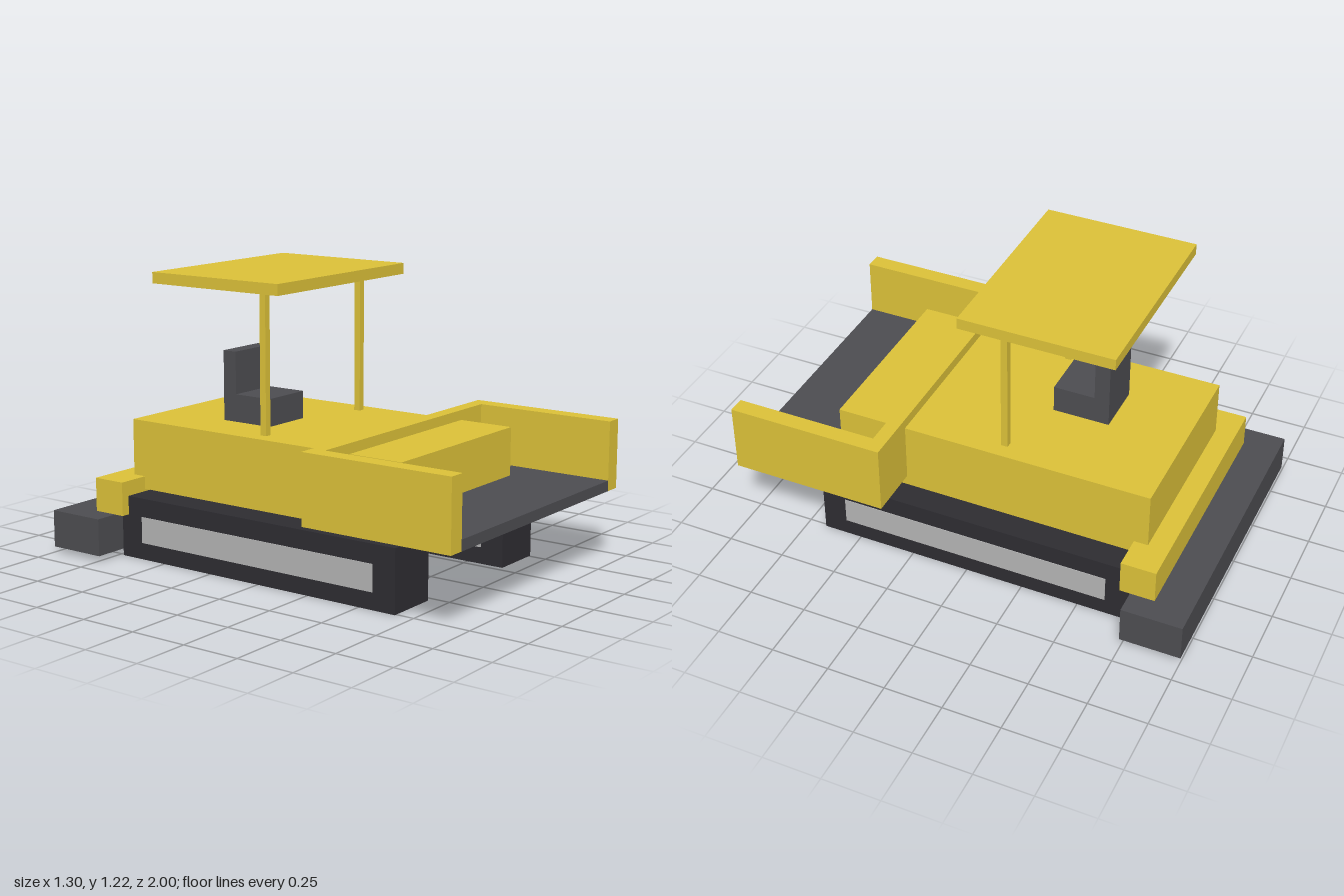
import * as THREE from 'three';

const material = (color) => new THREE.MeshStandardMaterial({ color });

export function createModel() {
  const model = new THREE.Group();
  model.name = 'paver';

  const yellow = material(0xdac038);
  const darkGrey = material(0x4c4c50);
  const black = material(0x2d2c31);
  const grey = material(0xb2b2b2);

  // Box given by its [min, max] extent on each axis
  function box(name, mat, [x0, x1], [y0, y1], [z0, z1], parent = model) {
    const mesh = new THREE.Mesh(new THREE.BoxGeometry(x1 - x0, y1 - y0, z1 - z0), mat);
    mesh.position.set((x0 + x1) / 2, (y0 + y1) / 2, (z0 + z1) / 2);
    mesh.name = name;
    parent.add(mesh);
    return mesh;
  }

  // Same box on both sides of the machine
  function pair(name, mat, [x0, x1], y, z, parent = model) {
    box(name + 'Left', mat, [x0, x1], y, z, parent);
    box(name + 'Right', mat, [-x1, -x0], y, z, parent);
  }

  function group(name) {
    const g = new THREE.Group();
    g.name = name;
    model.add(g);
    return g;
  }

  // Main body
  box('body', yellow, [-0.405, 0.405], [0.275, 0.572], [-0.755, 0.625]);

  // Crawler tracks, with a frame plate standing slightly proud of both faces
  const tracks = group('tracks');
  pair('track', black, [0.28, 0.51], [0, 0.265], [-0.73, 0.67], tracks);
  pair('trackFrame', grey, [0.277, 0.513], [0.072, 0.185], [-0.62, 0.565], tracks);

  // Open-fronted hopper
  const hopper = group('hopper');
  box('hopperFloor', darkGrey, [-0.565, 0.565], [0.32, 0.365], [0.38, 1], hopper);
  box('hopperBackWall', yellow, [-0.565, 0.565], [0.32, 0.615], [0.32, 0.38], hopper);
  pair('hopperSideWall', yellow, [0.565, 0.637], [0.32, 0.615], [0.32, 1], hopper);

  // Rear screed and the auger housing above it
  box('screed', darkGrey, [-0.65, 0.65], [0.025, 0.185], [-1, -0.74]);
  box('augerHousing', yellow, [-0.548, 0.548], [0.185, 0.33], [-0.845, -0.695]);

  // Operator seat, offset to the right
  const seat = group('seat');
  box('seatCushion', darkGrey, [-0.19, 0.04], [0.572, 0.69], [-0.365, -0.185], seat);
  box('seatBack', darkGrey, [-0.19, 0.04], [0.572, 0.872], [-0.43, -0.365], seat);

  // Canopy on two posts
  const canopy = group('canopy');
  pair('canopyPost', yellow, [0.313, 0.342], [0.572, 1.168], [-0.113, -0.084], canopy);
  box('canopyRoof', yellow, [-0.438, 0.438], [1.168, 1.215], [-0.6, 0.055], canopy);

  return model;
}
